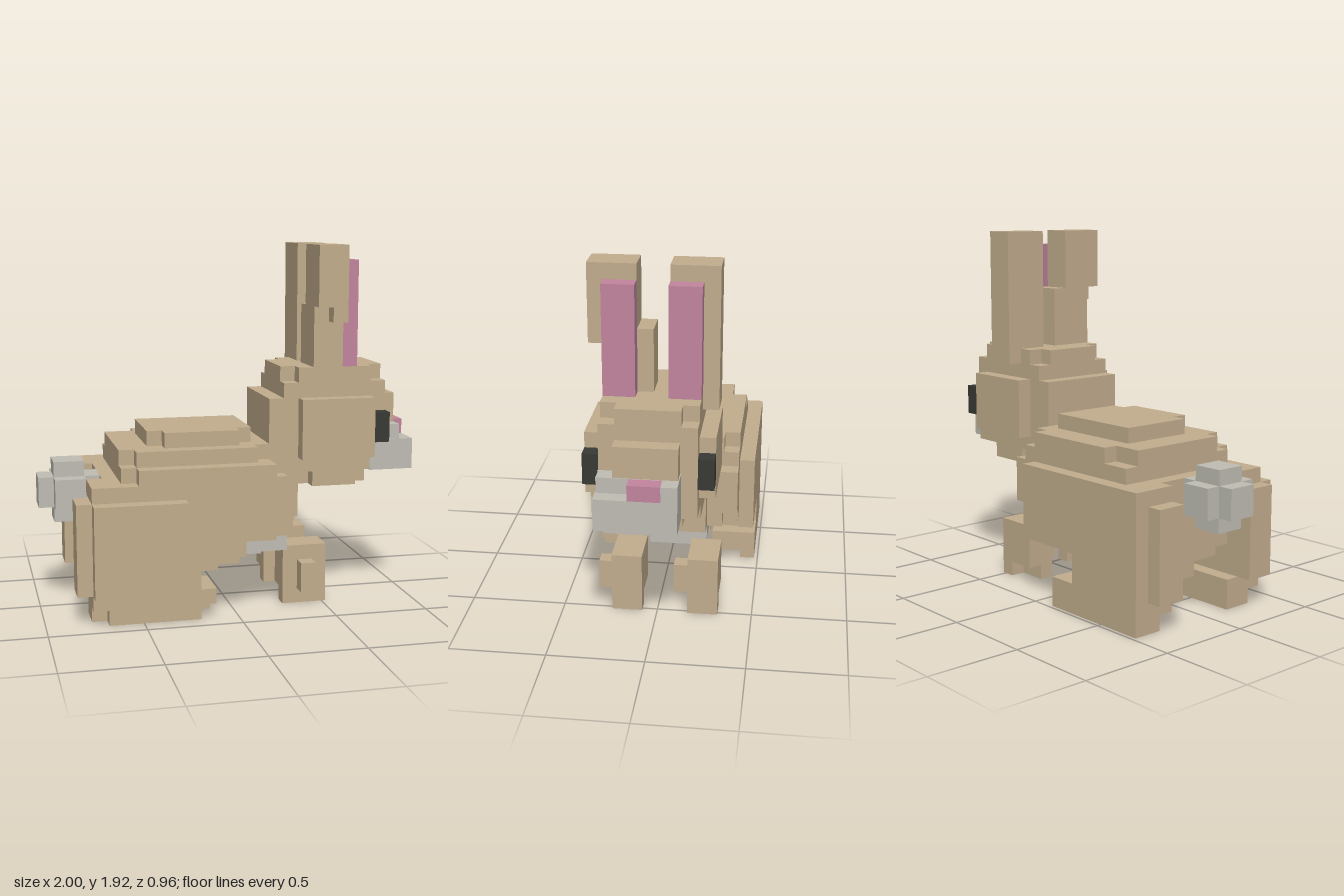
import * as THREE from 'three';

const mat = (name, color) => {
  const m = new THREE.MeshStandardMaterial({ color });
  m.name = name;
  return m;
};

export function createModel() {
  const tan = mat('tan fur', 0xc2ad8d);
  const grey = mat('pale grey fur', 0xbfbdb3);
  const pink = mat('pink skin', 0xc2859f);
  const dark = mat('dark eye', 0x393a35);
  const rabbit = new THREE.Group();
  rabbit.name = 'rabbit';

  // A part is a group of blocks, each given as [x0, x1, y0, y1, z0, z1]
  const part = (name, material, blocks, dz = 0) => {
    const g = new THREE.Group();
    g.name = name;
    for (const [x0, x1, y0, y1, z0, z1] of blocks) {
      const m = new THREE.Mesh(new THREE.BoxGeometry(x1 - x0, y1 - y0, z1 - z0), material);
      m.position.set((x0 + x1) / 2, (y0 + y1) / 2, (z0 + z1) / 2 + dz);
      m.name = name + 'Block';
      g.add(m);
    }
    rabbit.add(g);
  };

  // Body, stepped in towards the back
  part('body', tan, [
    [-0.68, 0.04, 0.32, 0.72, -0.40, 0.40],
    [0.04, 0.20, 0.40, 0.72, -0.40, 0.40],
    [0.20, 0.28, 0.48, 0.72, -0.40, 0.32],
    [-0.60, 0.20, 0.72, 0.80, -0.40, 0.32],
    [-0.52, 0.20, 0.72, 0.80, 0.32, 0.40],
    [-0.60, 0.20, 0.80, 0.88, -0.32, 0.24],
    [-0.52, 0.12, 0.80, 0.88, 0.24, 0.32],
    [-0.44, 0.12, 0.80, 0.88, -0.40, -0.32],
    [-0.44, 0.12, 0.88, 0.96, -0.24, 0.16],
    [-0.36, 0.04, 0.88, 0.96, 0.16, 0.24],
  ]);
  part('belly', tan, [
    [-0.60, 0.04, 0.24, 0.32, -0.24, 0.24],
    [-0.60, -0.04, 0.16, 0.24, -0.08, 0.08],
  ]);
  part('bellyPatch', grey, [
    [0.04, 0.28, 0.32, 0.40, -0.24, 0.32],
    [0.04, 0.20, 0.24, 0.32, -0.16, 0.08],
    [0.20, 0.28, 0.40, 0.48, 0.16, 0.24],
  ]);
  part('chest', tan, [
    [0.20, 0.36, 0.48, 0.80, -0.24, 0.24],
    [0.28, 0.36, 0.40, 0.48, -0.24, 0.16],
    [0.20, 0.28, 0.40, 0.48, -0.32, 0.16],
    [0.20, 0.28, 0.40, 0.48, 0.24, 0.32],
  ]);

  // Haunches
  part('leftHaunch', tan, [
    [-0.84, -0.20, 0.16, 0.64, 0.24, 0.40],
    [-0.76, -0.60, 0.64, 0.72, 0.16, 0.40],
    [-0.76, -0.28, 0.16, 0.64, 0.40, 0.48],
  ]);
  part('rightHaunch', tan, [
    [-0.84, -0.20, 0.16, 0.64, -0.40, -0.24],
    [-0.76, -0.60, 0.64, 0.72, -0.40, -0.24],
    [-0.76, 0.12, 0.32, 0.72, -0.48, -0.40],
    [-0.76, -0.28, 0.16, 0.32, -0.48, -0.40],
  ]);

  // Hind feet and front paws repeat by shifting sideways
  for (const [side, dz] of [['left', 0], ['right', -0.64]]) {
    part(side + 'HindFoot', tan, [
      [-0.76, -0.12, 0.08, 0.16, 0.16, 0.40],
      [-0.68, -0.20, 0, 0.08, 0.16, 0.40],
      [-0.20, -0.12, 0, 0.08, 0.16, 0.24],
      [-0.76, -0.68, 0, 0.08, 0.16, 0.32],
    ], dz);
  }
  for (const [side, dz] of [['left', 0], ['right', -0.40]]) {
    part(side + 'FrontPaw', tan, [
      [0.28, 0.52, 0.08, 0.32, 0.08, 0.24],
      [0.28, 0.52, 0, 0.08, 0.16, 0.24],
      [0.44, 0.52, 0, 0.08, 0.08, 0.16],
      [0.36, 0.44, 0.08, 0.24, 0.24, 0.32],
    ], dz);
  }

  // Head with cheeks, crown and jaw
  part('head', tan, [
    [0.20, 0.36, 0.72, 1.12, -0.24, 0.24],
    [0.28, 0.84, 0.72, 1.20, -0.24, 0.24],
    [0.28, 0.84, 1.20, 1.28, -0.16, 0.16],
    [0.36, 0.76, 1.20, 1.28, -0.24, 0.24],
    [0.36, 0.76, 0.80, 1.12, 0.24, 0.32],
    [0.36, 0.76, 0.80, 1.12, -0.32, -0.24],
    [0.84, 0.92, 0.72, 1.12, -0.155, 0.16],
    [0.36, 0.76, 0.64, 0.72, -0.16, 0.16],
    [0.44, 0.68, 0.64, 0.72, -0.24, 0.24],
  ]);
  part('muzzle', grey, [
    [0.76, 1.00, 0.715, 0.88, -0.16, 0.245],
    [0.84, 0.925, 0.88, 0.96, -0.16, 0.24],
    [0.76, 0.84, 0.88, 0.96, 0.16, 0.245],
    [0.92, 1.00, 0.88, 0.96, -0.16, -0.08],
  ]);
  part('nose', pink, [[0.92, 1.00, 0.88, 0.96, -0.08, 0.08]]);
  part('leftEye', dark, [[0.76, 0.84, 0.88, 1.04, 0.24, 0.32]]);
  part('rightEye', dark, [[0.76, 0.84, 0.88, 1.04, -0.32, -0.24]]);

  // Ears with pink linings
  part('leftEar', tan, [
    [0.44, 0.60, 1.28, 1.92, 0.08, 0.24],
    [0.44, 0.60, 1.60, 1.92, 0.24, 0.32],
    [0.52, 0.60, 1.52, 1.60, 0.24, 0.32],
    [0.44, 0.60, 1.28, 1.60, 0.00, 0.08],
  ]);
  part('rightEar', tan, [
    [0.44, 0.60, 1.28, 1.92, -0.24, -0.08],
    [0.44, 0.60, 1.20, 1.92, -0.32, -0.24],
  ]);
  part('leftEarLining', pink, [[0.60, 0.68, 1.28, 1.84, 0.08, 0.24]]);
  part('rightEarLining', pink, [[0.60, 0.68, 1.28, 1.84, -0.24, -0.08]]);

  // Fluffy tail
  part('tail', grey, [
    [-0.92, -0.76, 0.48, 0.80, -0.08, 0.08],
    [-0.92, -0.76, 0.56, 0.72, -0.16, 0.16],
    [-1.00, -0.68, 0.56, 0.72, -0.08, 0.08],
  ]);

  return rabbit;
}
